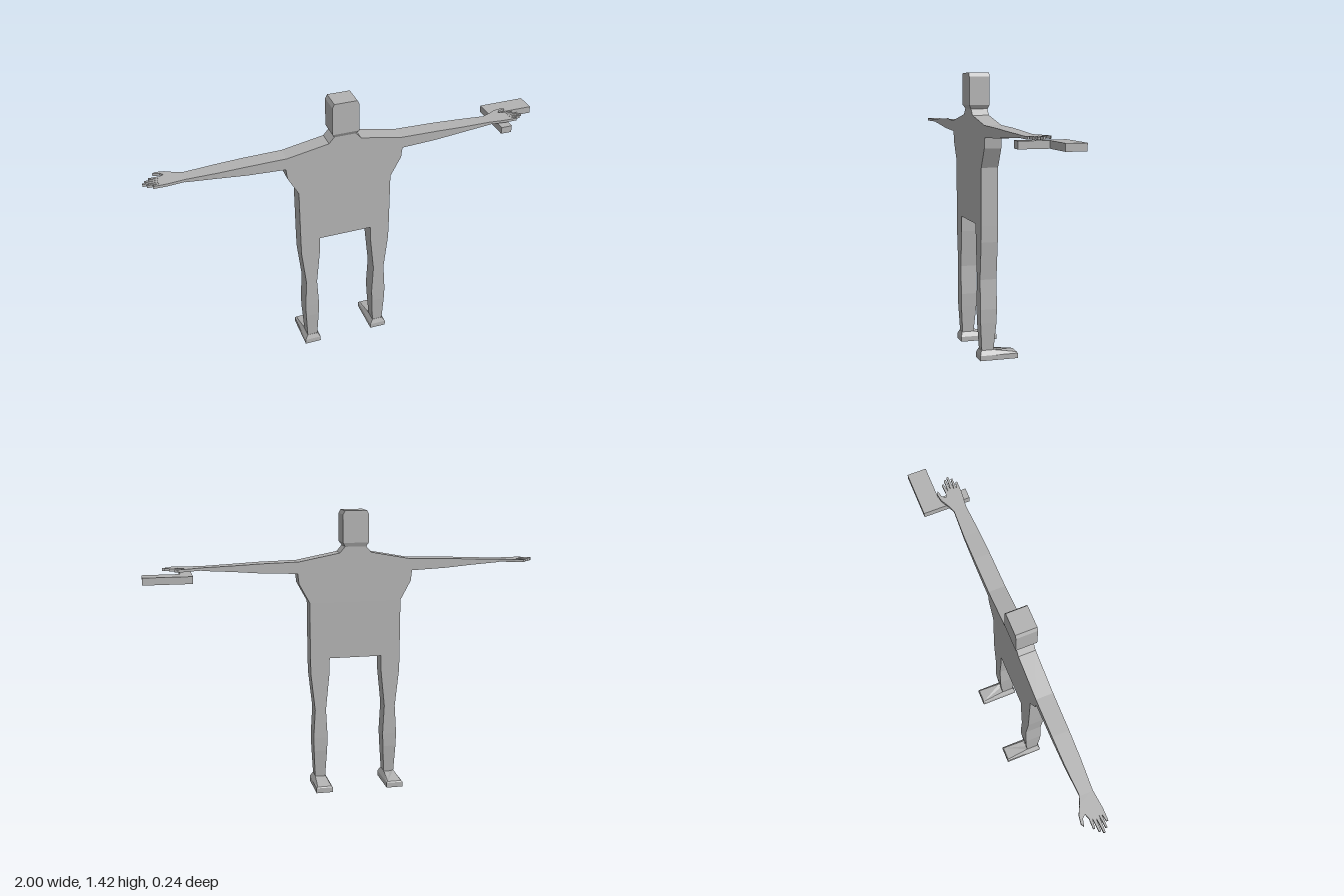
import * as THREE from 'three';

const CENTER = -0.05;          // the figure's own symmetry plane
const BACK = 0.008, FRONT = 0.093;

export function createModel() {
  const model = new THREE.Group();
  model.name = 'figure';
  const grey = new THREE.MeshStandardMaterial({ color: 0xb2b2b2 });
  grey.name = 'plain grey';

  const add = (name, geometry, parent = model) => {
    const mesh = new THREE.Mesh(geometry, grey);
    mesh.name = name;
    parent.add(mesh);
    return mesh;
  };

  // Skin a row of equal-length rings into a closed, hard-edged solid
  const loft = (rings, side = 1) => {
    const n = rings[0].length, pos = [];
    const tri = (a, b, c) => {
      for (const p of side > 0 ? [a, b, c] : [a, c, b]) pos.push(p[0] * side, p[1], p[2]);
    };
    for (let r = 0; r < rings.length - 1; r++) {
      const lo = rings[r], hi = rings[r + 1];
      for (let i = 0; i < n; i++) {
        const j = (i + 1) % n;
        tri(lo[i], hi[i], lo[j]);
        tri(lo[j], hi[i], hi[j]);
      }
    }
    const first = rings[0], last = rings[rings.length - 1];
    for (let i = 1; i < n - 1; i++) {
      tri(first[0], first[i], first[i + 1]);
      tri(last[0], last[i + 1], last[i]);
    }
    const g = new THREE.BufferGeometry();
    g.setAttribute('position', new THREE.Float32BufferAttribute(pos, 3));
    g.computeVertexNormals();
    return g;
  };
  // Ring lying flat at height y, and ring standing upright at x
  const flat = (y, x0, x1, z0, z1) => [[x0, y, z0], [x1, y, z0], [x1, y, z1], [x0, y, z1]];
  const upright = (x, y0, y1, z0, z1) => [[x, y0, z0], [x, y0, z1], [x, y1, z1], [x, y1, z0]];

  const plate = (points, depth) => new THREE.ExtrudeGeometry(
    new THREE.Shape(points.map(([x, y]) => new THREE.Vector2(x, y))),
    { depth, bevelEnabled: false });

  const body = new THREE.Group();
  body.name = 'body';
  body.position.x = CENTER;
  model.add(body);

  // Torso slab with shoulders and neck
  const half = [[0.134, 0.68], [0.2335, 0.68], [0.235, 0.968], [0.288, 1.065],
    [0.294, 1.117], [0.288, 1.176], [0.08, 1.215], [0.053, 1.247]];
  const outline = [...half, ...half.map(([x, y]) => [-x, y]).reverse()];
  add('torso', plate(outline, FRONT - BACK).translate(0, 0, BACK), body);

  // Head with tapered jaw and clipped crown
  add('head', loft([
    flat(1.245, -0.053, 0.053, BACK, FRONT),
    flat(1.265, -0.066, 0.066, 0, 0.105),
    flat(1.405, -0.066, 0.066, 0, 0.105),
    flat(1.424, -0.056, 0.056, 0, 0.105),
  ]), body);

  // Hand outline seen from above: x outward, z
  const hand = [[0.76, 0.016], [0.8, 0], [0.84, -0.021], [0.88, -0.028], [0.895, -0.019],
    [0.862, -0.011], [0.848, 0.006], [0.87, 0.014], [0.92, 0.013], [0.92, 0.022],
    [0.873, 0.028], [0.94, 0.031], [0.94, 0.041], [0.873, 0.044], [0.952, 0.048],
    [0.952, 0.057], [0.873, 0.06], [0.935, 0.065], [0.935, 0.073], [0.873, 0.073],
    [0.91, 0.08], [0.91, 0.089], [0.85, 0.089], [0.76, 0.08]];

  for (const side of [1, -1]) {
    const word = side > 0 ? 'left' : 'right';

    add(word + 'Arm', loft([
      upright(0.288, 1.117, 1.176, BACK, FRONT),
      upright(0.476, 1.125, 1.172, BACK, 0.091),
      upright(0.61, 1.136, 1.166, 0.009, 0.088),
      upright(0.765, 1.145, 1.16, 0.016, 0.08),
    ], side), body);

    add(word + 'Hand', plate(hand.map(([x, z]) => [x * side, z]), 0.013)
      .rotateX(Math.PI / 2).translate(0, 1.16, 0), body);

    add(word + 'Leg', loft([
      flat(0.045, 0.158, 0.211, 0.024, 0.084),
      flat(0.19, 0.15, 0.218, 0.01, 0.092),
      flat(0.26, 0.147, 0.22, BACK, FRONT),
      flat(0.41, 0.155, 0.211, BACK, FRONT),
      flat(0.6, 0.136, 0.232, BACK, FRONT),
      flat(0.68, 0.134, 0.2335, BACK, FRONT),
    ], side), body);

    // Flat sole, then an upper sloping from the ankle down to the toe
    add(word + 'Foot', loft([
      flat(0, 0.143, 0.227, -0.1, 0.095),
      flat(0.026, 0.143, 0.227, -0.1, 0.095),
      [[0.15, 0.032, -0.096], [0.22, 0.032, -0.096], [0.211, 0.05, 0.024],
        [0.211, 0.05, 0.086], [0.158, 0.05, 0.086], [0.158, 0.05, 0.024]],
    ].map((ring, i) => i < 2
      ? [ring[0], ring[1], [0.227, ring[0][1], 0.024], ring[2], ring[3], [0.143, ring[0][1], 0.024]]
      : ring), side), body);
  }

  // L-shaped block under the left hand
  const block = [[0.765, -0.122], [1, -0.122], [1, -0.026], [0.82, -0.026],
    [0.82, 0.117], [0.765, 0.117]];
  add('heldBlock', plate(block, 0.035).rotateX(Math.PI / 2).translate(0, 1.139, 0));

  return model;
}
